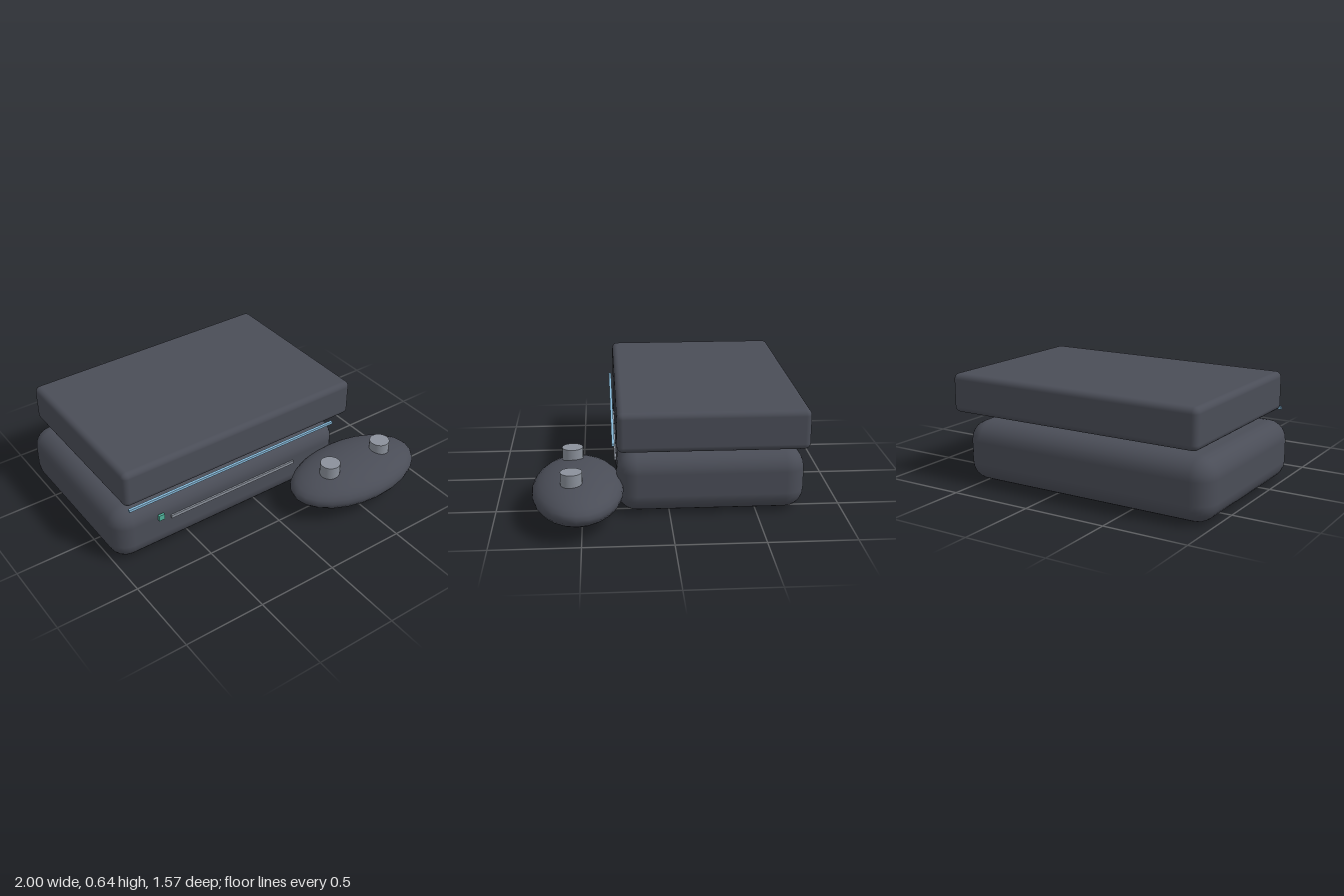
import * as THREE from 'three';
import { RoundedBoxGeometry } from 'three/addons/geometries/RoundedBoxGeometry.js';

const paint = (color) => new THREE.MeshStandardMaterial({ color });

export function createModel() {
  const model = new THREE.Group();
  const dark = paint(0x4a4d57);
  const grey = paint(0x8b919b);
  const blue = paint(0x86b8d8);
  const green = paint(0x4fb09a);

  const add = (name, geometry, material, x, y, z) => {
    const mesh = new THREE.Mesh(geometry, material);
    mesh.name = name;
    mesh.position.set(x, y, z);
    model.add(mesh);
    return mesh;
  };

  // Console body: soft lower case and a crisper lid floating above it
  add('lowerCase', new RoundedBoxGeometry(1.61, 0.36, 1.085, 3, 0.115), dark, -0.195, 0.18, -0.243);
  add('upperCase', new RoundedBoxGeometry(1.615, 0.233, 1.085, 3, 0.035), dark, -0.122, 0.522, -0.243);

  // Front details
  add('lightStrip', new THREE.BoxGeometry(1.455, 0.016, 0.016), blue, -0.193, 0.407, 0.318);
  add('discSlot', new THREE.BoxGeometry(0.89, 0.02, 0.02), grey, -0.195, 0.216, 0.3);
  add('powerLight', new THREE.BoxGeometry(0.036, 0.036, 0.016), green, -0.712, 0.254, 0.312);

  // Controller: flattened ellipsoid with two thumbsticks
  add('controllerBody', new THREE.SphereGeometry(1, 24, 16), dark, 0.55, 0.152, 0.523)
    .scale.set(0.447, 0.125, 0.262);
  for (const [name, x] of [['rightThumbstick', 0.335], ['leftThumbstick', 0.73]]) {
    add(name, new THREE.CylinderGeometry(0.061, 0.061, 0.08, 24), grey, x, 0.288, 0.553);
  }
  return model;
}
